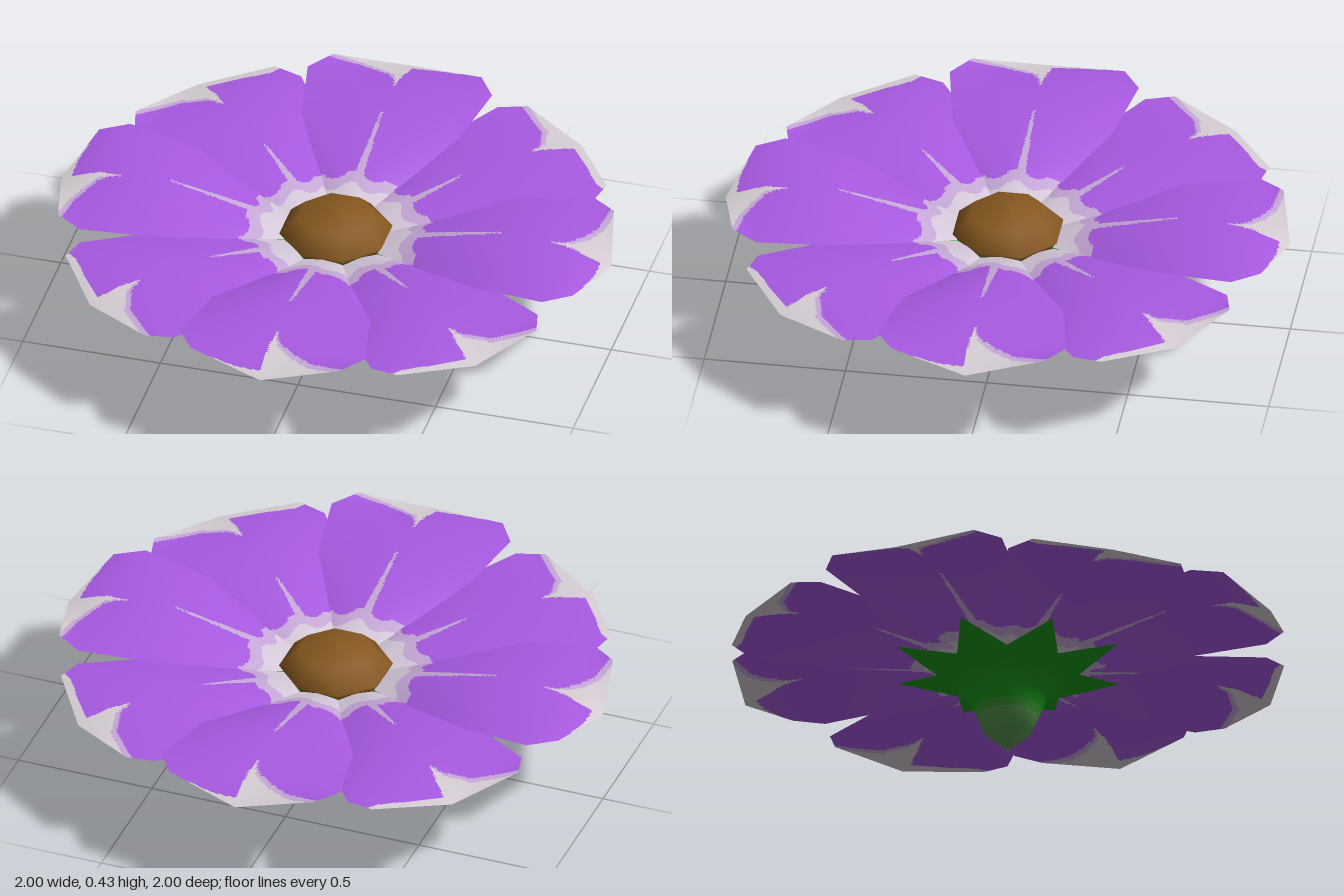
import * as THREE from 'three';

const mat = (name, color, side = THREE.DoubleSide) => {
  const m = new THREE.MeshStandardMaterial({ color, side });
  m.name = name;
  return m;
};

// Piecewise linear lookup in a list of [x, value] pairs
function lookup(points, x) {
  for (let i = 1; i < points.length; i++) {
    const [x0, y0] = points[i - 1], [x1, y1] = points[i];
    if (x <= x1) return y0 + (y1 - y0) * Math.max(0, (x - x0) / (x1 - x0));
  }
  return points[points.length - 1][1];
}

// Petals: rows are [radius at midrib, radius at edge, half width, y at midrib, y at edge],
// tip is the inner limit of the pale tip across the petal, vein the end of the pale midrib
const UPPER = {
  rows: [
    [0.17, 0.17, 0.07, 0.315, 0.303], [0.30, 0.30, 0.135, 0.365, 0.32], [0.62, 0.58, 0.285, 0.43, 0.378],
    [0.86, 0.84, 0.335, 0.41, 0.398], [1.0, 0.935, 0.27, 0.355, 0.40],
  ],
  tip: [[-0.335, 1], [-0.27, 0.94], [-0.1, 0.965], [-0.012, 0.965], [0, 0.79], [0.025, 0.86],
    [0.08, 0.895], [0.16, 0.93], [0.25, 0.94], [0.335, 0.95]],
  vein: 0.67,
};
const LOWER = {
  rows: [
    [0.17, 0.17, 0.07, 0.31, 0.3], [0.30, 0.30, 0.135, 0.35, 0.316], [0.62, 0.58, 0.285, 0.405, 0.34],
    [0.86, 0.84, 0.335, 0.38, 0.358], [0.99, 0.93, 0.28, 0.345, 0.365],
  ],
  tip: [[-0.335, 0.92], [-0.25, 0.905], [-0.12, 0.935], [-0.015, 0.95], [0, 0.80], [0.03, 0.86],
    [0.11, 0.915], [0.23, 0.93], [0.335, 0.94]],
  vein: 0.54,
};

// Paint zone: 0 purple, 1 lilac, 2 pale base, 3 pale tip
function petalZone(r, w, { tip, vein }) {
  const ripple = 0.014 * Math.sin(w * 48 + 0.6);
  const limit = lookup(tip, w);
  if (r > limit) return 3;
  if (r < 0.255 + ripple) return 2;
  if (r < 0.305 + ripple) return 1;
  if (Math.abs(w) < 0.017 * (vein - r) / (vein - 0.28)) return 1;
  return w > 0 && r > limit - 0.022 ? 1 : 0;
}

// Indexed geometry with one material group for each list of triangles
function indexed(pos, lists) {
  const g = new THREE.BufferGeometry();
  g.setAttribute('position', new THREE.Float32BufferAttribute(pos, 3));
  g.setIndex(lists.flat());
  let start = 0;
  lists.forEach((list, n) => {
    g.addGroup(start, list.length, n);
    start += list.length;
  });
  g.computeVertexNormals();
  return g;
}

// Calls tri for both triangles of every cell in a grid of nu by nv cells
function gridTriangles(nu, nv, tri) {
  for (let i = 0; i < nu; i++) {
    for (let j = 0; j < nv; j++) {
      const a = i * (nv + 1) + j, c = a + nv + 1;
      tri(a, c, a + 1);
      tri(a + 1, c, c + 1);
    }
  }
}

// Petal pointing to +z: a coarse low-poly sheet with smooth normals, divided to carry the paint zones
function petalGeometry(petal) {
  const coarseTris = [];
  gridTriangles(petal.rows.length - 1, 2, (...t) => coarseTris.push(...t));
  const coarse = indexed(
    petal.rows.flatMap(([rm, re, hw, ym, ye]) => [-hw, ye, re, 0, ym, rm, hw, ye, re]), [coarseTris]);

  const nu = 72, nv = 64, pos = [], normals = [], zones = [[], [], [], []];
  const sample = (array, u, v) => {
    const k = Math.min(Math.floor(u), petal.rows.length - 2), m = Math.min(Math.floor(v), 1);
    const at = (i, j) => new THREE.Vector3().fromArray(array, ((k + i) * 3 + m + j) * 3);
    return at(0, 0).lerp(at(0, 1), v - m).lerp(at(1, 0).lerp(at(1, 1), v - m), u - k);
  };
  for (let i = 0; i <= nu; i++) {
    for (let j = 0; j <= nv; j++) {
      const u = (i / nu) * (petal.rows.length - 1), v = (j / nv) * 2;
      pos.push(...sample(coarse.attributes.position.array, u, v));
      normals.push(...sample(coarse.attributes.normal.array, u, v).normalize());
    }
  }
  gridTriangles(nu, nv, (...tri) => {
    const mean = (n) => tri.reduce((s, p) => s + pos[p * 3 + n], 0) / 3;
    zones[petalZone(mean(2), mean(0), petal)].push(...tri);
  });
  const g = indexed(pos, zones);
  g.setAttribute('normal', new THREE.Float32BufferAttribute(normals, 3));
  return g;
}

// Cup made of rings, ending in a star of eight pointed sepals
function calyxGeometry() {
  const n = 16, pos = [], lists = [[], [], []];
  // [radius, y] of each ring of the cup
  const rings = [[0.004, 0], [0.085, 0.07], [0.108, 0.125], [0.119, 0.15], [0.14, 0.2], [0.2, 0.255]];
  // sepal tip under an upper petal, notch, tip under a lower petal, notch
  const star = [[0.42, 0.333], [0.25, 0.29], [0.42, 0.326], [0.25, 0.29]];
  for (let i = 0; i <= rings.length; i++) {
    for (let j = 0; j < n; j++) {
      const a = (j / n) * Math.PI * 2, [r, y] = rings[i] ?? star[j % 4];
      pos.push(Math.sin(a) * r, y, Math.cos(a) * r);
      if (i === 0) continue;
      const k = (j + 1) % n, p = (i - 1) * n, q = i * n;
      const zone = i < 3 ? 2 : i === 3 ? 1 : 0;
      lists[zone].push(p + j, p + k, q + j, p + k, q + k, q + j);
    }
  }
  return indexed(pos, lists);
}

export function createModel() {
  const flower = new THREE.Group();
  flower.name = 'flower';
  const purple = mat('petal purple', 0xa85ae2);
  const lilac = mat('petal lilac', 0xc6a8d8);
  const pale = mat('petal base pale', 0xd6c9da);
  const tipPale = mat('petal tip pale', 0xd6ced4);
  const green = mat('calyx green', 0x189618);
  const midGreen = mat('calyx soft green', 0x35902f);
  const paleGreen = mat('calyx pale green', 0x548f4c);
  const brown = mat('centre brown', 0x875820, THREE.FrontSide);

  const add = (name, geometry, material) => {
    const mesh = new THREE.Mesh(geometry, material);
    mesh.name = name;
    flower.add(mesh);
    return mesh;
  };

  // Petals: four upper ones on the axes, four lower ones between them
  const upper = petalGeometry(UPPER);
  const lower = petalGeometry(LOWER);
  for (let i = 0; i < 8; i++) {
    const petal = add(i % 2 ? 'lowerPetal' : 'upperPetal', i % 2 ? lower : upper, [purple, lilac, pale, tipPale]);
    petal.rotation.y = (i * Math.PI) / 4;
  }

  // Eight-sided domed centre
  const dome = [[0, 0.29], [0.175, 0.296], [0.2, 0.328], [0.135, 0.39], [0, 0.408]];
  const centre = add('flowerCentre', new THREE.LatheGeometry(dome.map(([x, y]) => new THREE.Vector2(x, y)), 8), brown);
  centre.rotation.y = Math.PI / 8;

  // Calyx
  add('calyx', calyxGeometry(), [green, midGreen, paleGreen]);
  return flower;
}
